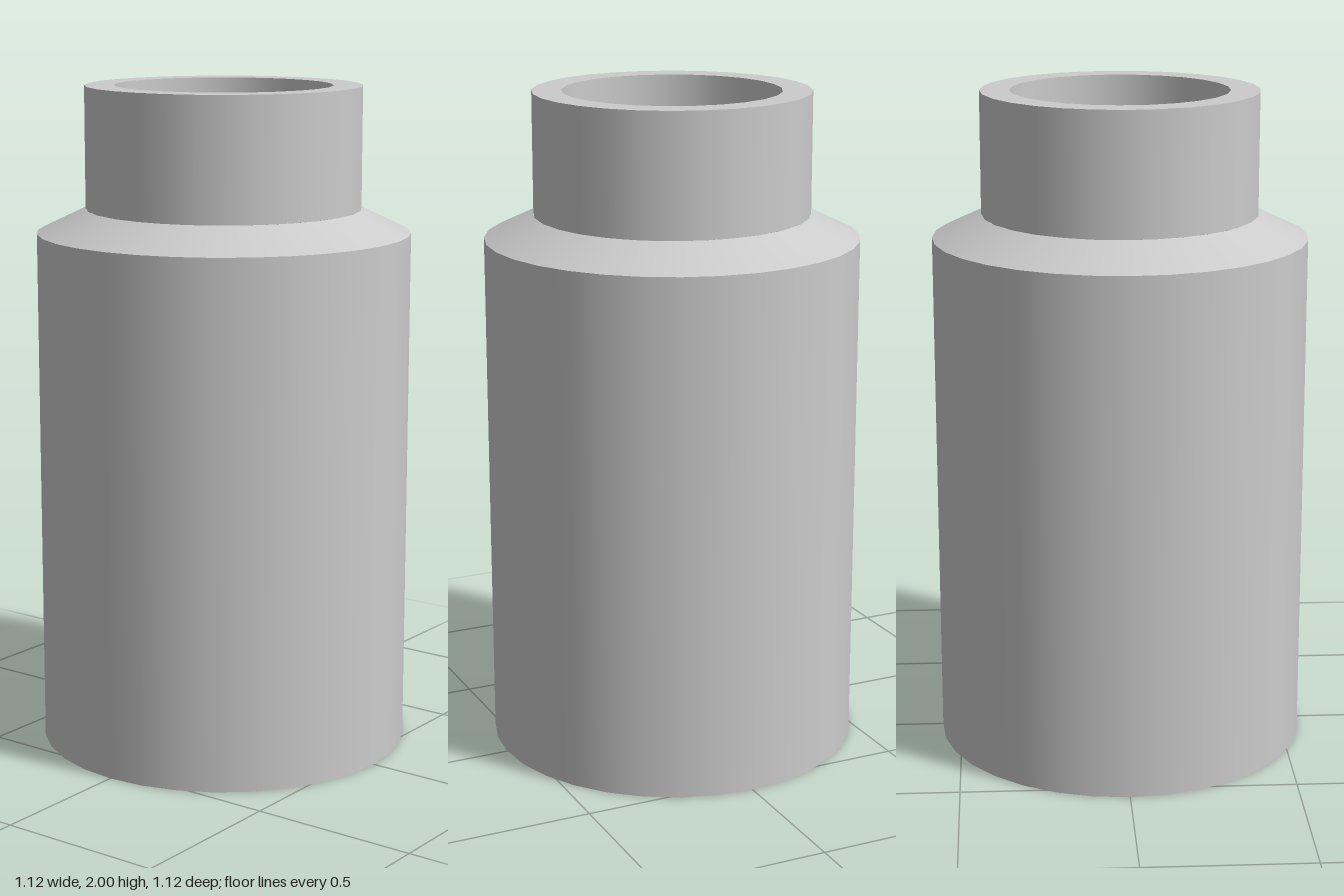
import * as THREE from 'three';

const material = new THREE.MeshStandardMaterial({ color: 0xcccccc });

// Wall thickness, and outer and inner radii of the body and neck
const WALL = 0.088;
const BODY = 0.56, NECK = 0.413;
const BODY_IN = BODY - WALL, BORE = NECK - WALL;

// One straight stretch of the turned profile, smooth around and sharp at its ends.
// The profile runs up the outside and back down the inside, so every face points outward.
function band(name, r1, y1, r2, y2, sides) {
  const points = [new THREE.Vector2(r1, y1), new THREE.Vector2(r2, y2)];
  const mesh = new THREE.Mesh(new THREE.LatheGeometry(points, sides, Math.PI / 2), material);
  mesh.name = name;
  return mesh;
}

// Corners of a regular polygon
function polygon(radius, sides) {
  return Array.from({ length: sides }, (_, i) => {
    const a = (i / sides) * Math.PI * 2;
    return new THREE.Vector2(radius * Math.cos(a), radius * Math.sin(a));
  });
}

// Flat lip joining the neck to the bore
function makeRim() {
  const shape = new THREE.Shape(polygon(NECK, 28));
  shape.holes.push(new THREE.Path(polygon(BORE, 25)));
  const geometry = new THREE.ShapeGeometry(shape);
  geometry.rotateX(-Math.PI / 2);
  geometry.translate(0, 2, 0);
  const mesh = new THREE.Mesh(geometry, material);
  mesh.name = 'rim';
  return mesh;
}

export function createModel() {
  const bottle = new THREE.Group();
  bottle.name = 'bottle';
  bottle.add(
    // Outside
    band('base', 0, 0, BODY, 0, 32),
    band('body', BODY, 0, BODY, 1.565, 32),
    band('shoulder', BODY, 1.565, NECK, 1.635, 32),
    band('neck', NECK, 1.635, NECK, 2, 28),
    makeRim(),
    // Hollow inside
    band('neckBore', BORE, 2, BORE, 1.58, 25),
    band('innerShoulder', BORE, 1.58, BODY_IN, 1.507, 25),
    band('innerWall', BODY_IN, 1.507, BODY_IN, WALL, 25),
    band('innerFloor', BODY_IN, WALL, 0, WALL, 25),
  );
  return bottle;
}
